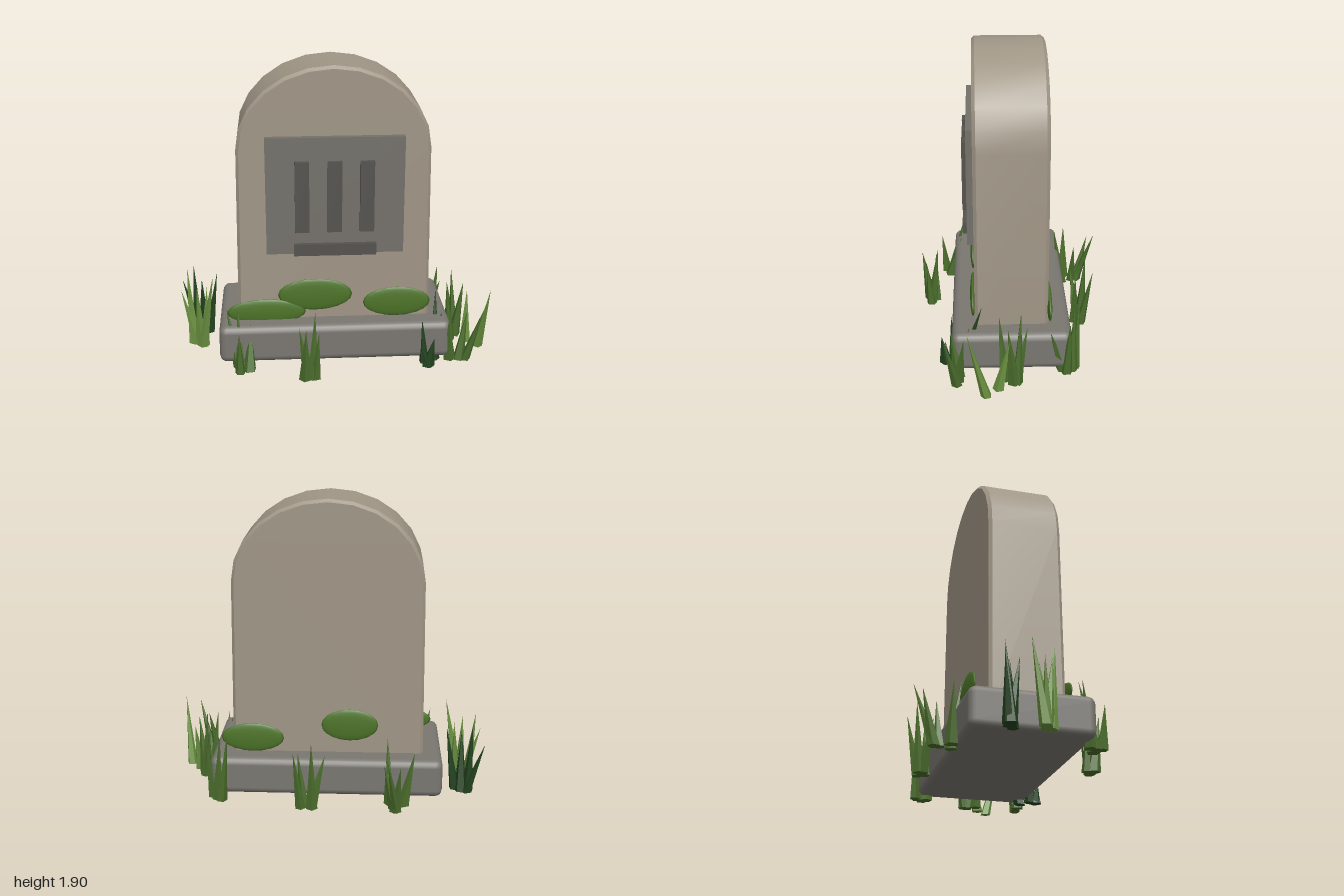
import * as THREE from 'three';
import { mergeGeometries, toCreasedNormals } from 'three/addons/utils/BufferGeometryUtils.js';
import { RoundedBoxGeometry } from 'three/addons/geometries/RoundedBoxGeometry.js';

function makeMaterial(name, color) {
  const m = new THREE.MeshStandardMaterial({ color });
  m.name = name;
  return m;
}

// One tapered blade: five-sided spike with a level foot and a leaning tip
function bladeGeometry(x, z, r, turn, tip) {
  const g = new THREE.ConeGeometry(1, 1, 5).toNonIndexed();
  g.translate(0, 0.5, 0);
  g.rotateY(turn);
  g.applyMatrix4(new THREE.Matrix4().makeBasis(
    new THREE.Vector3(r, 0, 0),
    new THREE.Vector3(tip[0] - x, tip[1], tip[2] - z),
    new THREE.Vector3(0, 0, r),
  ).setPosition(x, 0, z));
  g.computeVertexNormals();
  return g;
}

export function createModel() {
  const group = new THREE.Group();
  const stone = makeMaterial('warm stone', 0xa09686);
  const footing = makeMaterial('grey footing', 0x7a7771);
  const panel = makeMaterial('panel grey', 0x74716a);
  const carving = makeMaterial('dark carving', 0x55534f);
  const moss = makeMaterial('moss green', 0x4d7429);
  const midGrass = makeMaterial('grass green', 0x4a6c2c);
  const lightGrass = makeMaterial('light grass', 0x6a9040);
  const darkGrass = makeMaterial('dark grass', 0x23431f);

  function add(name, geometry, material, x = 0, y = 0, z = 0) {
    const mesh = new THREE.Mesh(geometry, material);
    mesh.name = name;
    mesh.position.set(x, y, z);
    group.add(mesh);
    return mesh;
  }

  // Footing slab with softened edges
  add('base', new RoundedBoxGeometry(1.47, 0.245, 0.73, 2, 0.045), footing, 0.005, 0.152, 0);

  // Upright slab: slightly tapered sides under a faceted arch
  const outline = new THREE.Shape();
  outline.moveTo(-0.61, 0.2);
  outline.lineTo(0.61, 0.2);
  for (let i = 0; i <= 12; i++) {
    const a = (i / 12) * Math.PI;
    outline.lineTo(0.595 * Math.cos(a), 1.39 + 0.51 * Math.sin(a));
  }
  outline.closePath();
  const slab = new THREE.ExtrudeGeometry(outline, {
    depth: 0.41, bevelEnabled: true, bevelThickness: 0.02,
    bevelSize: 0.018, bevelOffset: -0.018, bevelSegments: 1,
  });
  slab.translate(0, 0, -0.205);
  add('headstone', toCreasedNormals(slab, 0.5), stone);

  // Raised panel with three upright bars and a ledge
  add('panel', new THREE.BoxGeometry(0.85, 0.745, 0.05), panel, 0.005, 1.103, 0.24);
  for (const x of [-0.198, 0.002, 0.2]) {
    add('panelBar', new THREE.BoxGeometry(0.088, 0.45, 0.04), carving, x, 1.105, 0.273);
  }
  add('panelLedge', new THREE.BoxGeometry(0.51, 0.075, 0.055), carving, 0.004, 0.763, 0.2655);

  // Flat moss patches: x, y, z, half width, half height
  const patches = [
    [-0.12, 0.437, 0.235, 0.235, 0.107],
    [-0.43, 0.325, 0.238, 0.25, 0.085],
    [0.4, 0.375, 0.235, 0.215, 0.1],
    [-0.14, 0.465, -0.235, 0.18, 0.105],
    [0.48, 0.37, -0.235, 0.2, 0.095],
  ];
  for (const [x, y, z, rx, ry] of patches) {
    add('mossPatch', new THREE.SphereGeometry(1, 18, 10), moss, x, y, z).scale.set(rx, ry, 0.018);
  }

  // Grass tufts: feet spread around (x, z), each leaning to its own tip
  function tuft(name, material, x, z, tips) {
    const blades = tips.map((tip, i) => {
      const a = i * 2.4 + x * 7;
      const fx = x + 0.35 * (tip[0] - x) + 0.02 * Math.cos(a);
      const fz = z + 0.35 * (tip[2] - z) + 0.02 * Math.sin(a);
      return bladeGeometry(fx, fz, 0.034 + 0.004 * (i % 3), a, tip);
    });
    add(name, mergeGeometries(blades), material);
  }

  tuft('leftTuft', lightGrass, -0.87, 0.03, [
    [-0.99, 0.37, -0.02], [-0.95, 0.5, -0.08], [-0.88, 0.42, 0.06],
    [-0.82, 0.4, 0.0], [-0.77, 0.52, 0.11],
  ]);
  tuft('leftRearTuft', darkGrass, -0.87, -0.18, [
    [-1.0, 0.35, -0.24], [-0.92, 0.47, -0.22], [-0.86, 0.4, -0.12], [-0.76, 0.43, -0.15],
  ]);
  tuft('rearLeftTuft', midGrass, -0.44, -0.43, [
    [-0.38, 0.38, -0.61], [-0.46, 0.33, -0.57], [-0.55, 0.36, -0.41],
    [-0.36, 0.3, -0.47], [-0.38, 0.42, -0.33],
  ]);
  tuft('rearTuft', midGrass, 0.12, -0.46, [
    [0.2, 0.4, -0.54], [0.09, 0.45, -0.5], [0.01, 0.33, -0.41], [0.18, 0.36, -0.43],
  ]);
  tuft('rearRightTuft', midGrass, 0.69, -0.35, [
    [0.62, 0.46, -0.41], [0.76, 0.36, -0.35], [0.76, 0.3, -0.23], [0.67, 0.44, -0.38],
  ]);
  tuft('rightTuft', midGrass, 0.82, 0.0, [
    [0.8, 0.47, -0.05], [0.75, 0.42, 0.08], [0.87, 0.4, 0.03], [0.78, 0.36, -0.09],
  ]);
  tuft('rightOuterTuft', lightGrass, 0.9, 0.1, [
    [1.0, 0.45, 0.27], [0.9, 0.34, 0.02],
  ]);
  tuft('rightFrontTuft', midGrass, 0.77, 0.32, [
    [0.93, 0.38, 0.41], [0.85, 0.32, 0.29], [0.72, 0.3, 0.37],
  ]);
  tuft('frontRightTuft', darkGrass, 0.6, 0.38, [
    [0.55, 0.3, 0.37], [0.66, 0.43, 0.18], [0.62, 0.2, 0.43],
    [0.69, 0.3, 0.26], [0.55, 0.12, 0.41],
  ]);
  tuft('frontLeftTuft', midGrass, -0.57, 0.42, [
    [-0.61, 0.4, 0.3], [-0.68, 0.38, 0.3], [-0.53, 0.3, 0.32], [-0.6, 0.28, 0.46],
  ]);
  tuft('frontTuft', midGrass, -0.17, 0.52, [
    [-0.23, 0.33, 0.49], [-0.13, 0.42, 0.47], [-0.19, 0.36, 0.58], [-0.11, 0.32, 0.55],
  ]);

  return group;
}
